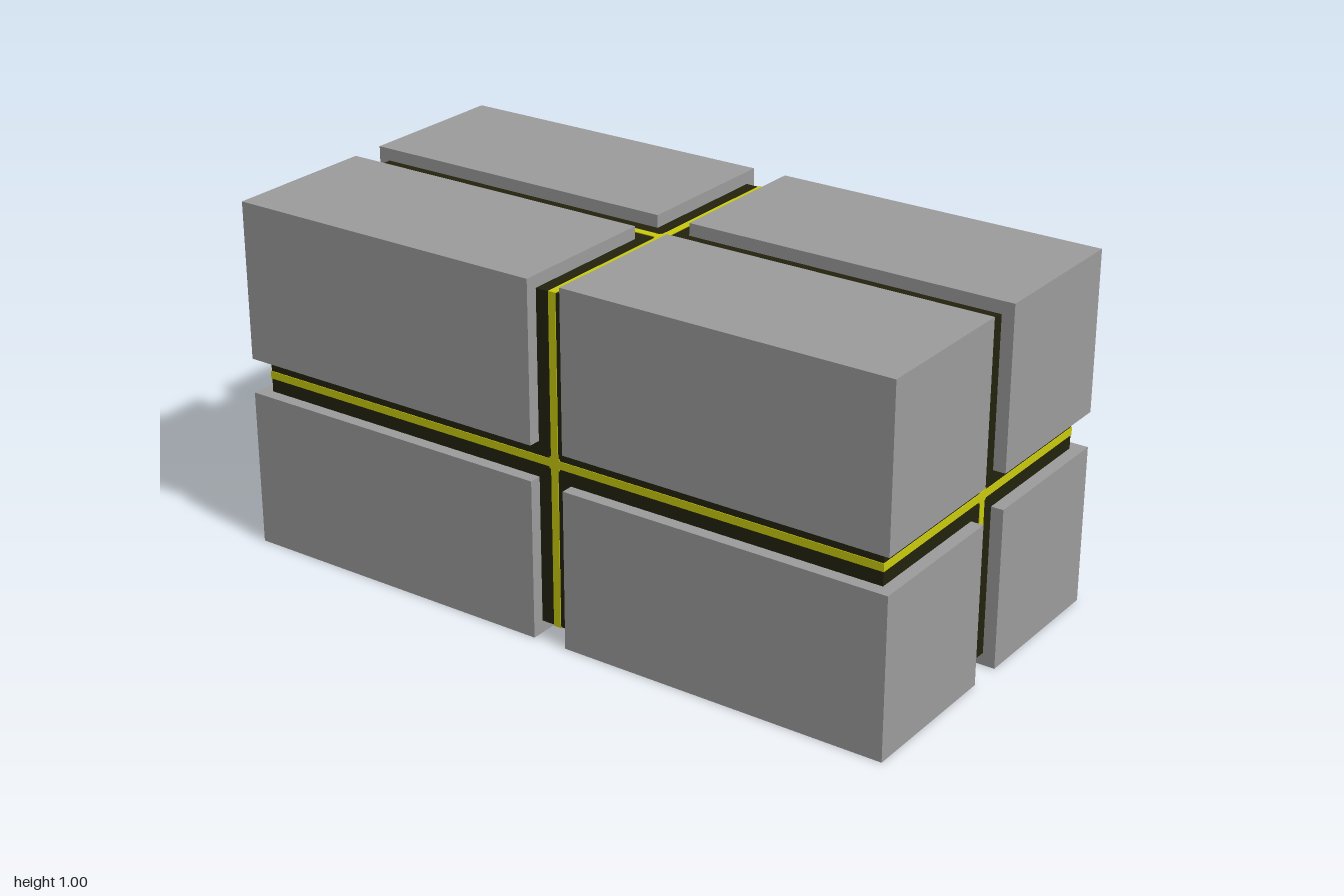
import * as THREE from 'three';

const grey = new THREE.MeshStandardMaterial({ color: 0x9c9c9c });
grey.name = 'grey';
const black = new THREE.MeshStandardMaterial({ color: 0x22220e });
black.name = 'black';
const yellow = new THREE.MeshStandardMaterial({ color: 0xcaca0e });
yellow.name = 'yellow';

const SIZE = [1, 1, 2]; // overall width, height, depth
const GAP = 0.1;        // groove width between blocks
const INSET = 0.035;    // groove depth
const STRIPE = 0.022;
const HUB = 0.032;
const PLATE = 0.002;

export function createModel() {
  const group = new THREE.Group();
  const add = (name, size, pos, material) => {
    const mesh = new THREE.Mesh(new THREE.BoxGeometry(...size), material);
    mesh.name = name;
    mesh.position.set(pos[0], pos[1] + 0.5, pos[2]);
    group.add(mesh);
  };

  // Dark inner core seen at the bottom of the grooves
  const core = SIZE.map((s) => s - 2 * INSET);
  add('core', core, [0, 0, 0], black);

  // Eight corner blocks
  const block = SIZE.map((s) => (s - GAP) / 2);
  for (const x of [-1, 1]) for (const y of [-1, 1]) for (const z of [-1, 1]) {
    const pos = [x, y, z].map((sign, i) => sign * (GAP + block[i]) / 2);
    add('cornerBlock', block, pos, grey);
  }

  // Stripe plates crossing on each of the six core faces, with a small hub
  for (let axis = 0; axis < 3; axis++) {
    const others = [0, 1, 2].filter((i) => i !== axis);
    for (const sign of [-1, 1]) {
      const pos = [0, 0, 0];
      pos[axis] = sign * (core[axis] + PLATE) / 2;
      for (const along of others) {
        const size = [STRIPE, STRIPE, STRIPE];
        size[axis] = PLATE;
        size[along] = core[along] + 2 * PLATE;
        add('stripe', size, pos, yellow);
      }
      const hub = [HUB, HUB, HUB];
      hub[axis] = PLATE;
      add('stripeHub', hub, pos, yellow);
    }
  }
  return group;
}
